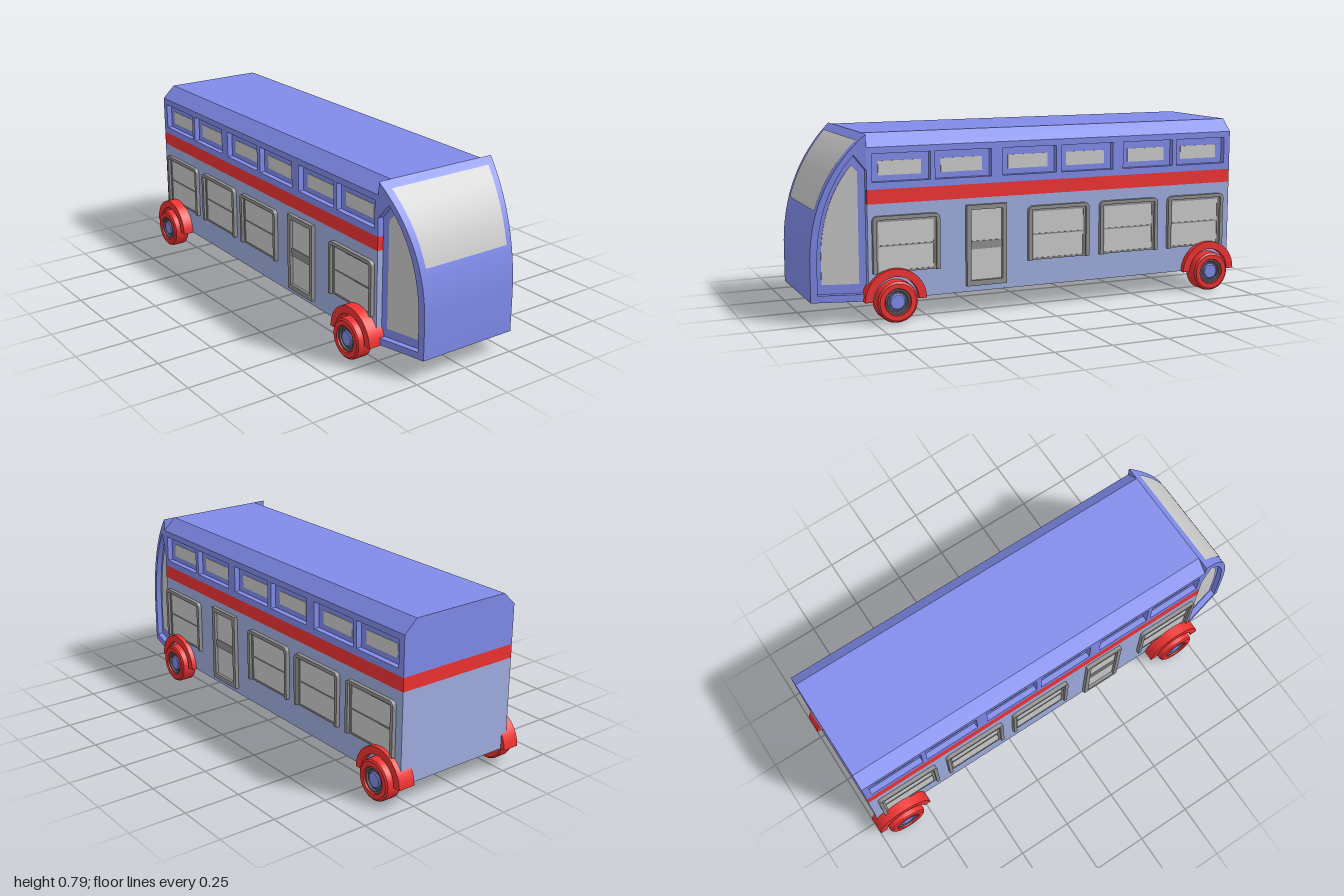
import * as THREE from 'three';
import { toCreasedNormals } from 'three/addons/utils/BufferGeometryUtils.js';

const CX = 0.0135;          // centre line of the bodywork
const HALF = 0.2915;        // half width of the bodywork
const FRONT = 0.77, BACK = -0.98;

const mat = (color) => new THREE.MeshStandardMaterial({ color });
const blue = mat(0x808bea), paleBlue = mat(0xa0aee0), red = mat(0xf03232);
const glass = mat(0xcccccc), grey = mat(0x909090), dark = mat(0x606068);

export function createModel() {
  const model = new THREE.Group();

  const add = (name, geometry, material, parent = model) => {
    const mesh = new THREE.Mesh(geometry, material);
    mesh.name = name;
    parent.add(mesh);
    return mesh;
  };
  const polygon = (pts) => new THREE.Shape(pts.map(([a, b]) => new THREE.Vector2(a, b)));
  const rect = (z0, z1, y0, y1) => polygon([[z0, y0], [z1, y0], [z1, y1], [z0, y1]]);

  // Extrude a (z, y) side shape across x, from x0 to x1
  const across = (shape, x0, x1) =>
    toCreasedNormals(new THREE.ExtrudeGeometry(shape, { depth: x1 - x0, bevelEnabled: false, curveSegments: 16 })
      .rotateY(-Math.PI / 2).translate(x1, 0, 0), 0.5);
  // The same part on both sides, a and b measured out from the centre line
  const bothSides = (name, shape, a, b, material) => {
    add('left' + name, across(shape, CX + a, CX + b), material);
    add('right' + name, across(shape, CX - b, CX - a), material);
  };
  const box = (name, y0, y1, material) =>
    add(name, new THREE.BoxGeometry(2 * HALF, y1 - y0, FRONT - BACK)
      .translate(CX, (y0 + y1) / 2, (FRONT + BACK) / 2), material);

  // Main body: lower deck, band, and upper deck with a chamfered roof
  box('lowerBody', 0.095, 0.5, paleBlue);
  box('redBand', 0.5, 0.56, red);
  const inner = HALF - 0.025;
  const roof = polygon([[-inner, 0.56], [inner, 0.56], [inner, 0.735], [HALF, 0.735],
    [0.233, 0.79], [-0.233, 0.79], [-HALF, 0.735], [-inner, 0.735]]);
  add('upperBody', new THREE.ExtrudeGeometry(roof, { depth: FRONT - BACK, bevelEnabled: false })
    .translate(CX, 0, BACK), blue);

  // Upper side panels with recessed windows
  const upperPanel = rect(BACK, FRONT, 0.56, 0.735);
  for (const z of [0.62, 0.345, 0.038, -0.241, -0.547, -0.823]) {
    upperPanel.holes.push(rect(z - 0.127, z + 0.127, 0.59, 0.708));
    bothSides('UpperWindow', rect(z - 0.094, z + 0.094, 0.615, 0.675), inner - 0.002, inner + 0.002, glass);
  }
  bothSides('UpperPanel', upperPanel, inner, HALF, blue);

  // Window surround: rounded top corners, open at the bottom
  const surround = (z0, z1, y0, y1, w, r) => {
    const s = new THREE.Shape();
    s.moveTo(z0, y0);
    s.lineTo(z0 + w, y0);
    s.lineTo(z0 + w, y1 - w);
    s.lineTo(z1 - w, y1 - w);
    s.lineTo(z1 - w, y0);
    s.lineTo(z1, y0);
    s.lineTo(z1, y1 - r);
    s.quadraticCurveTo(z1, y1, z1 - r, y1);
    s.lineTo(z0 + r, y1);
    s.quadraticCurveTo(z0, y1, z0, y1 - r);
    return s;
  };

  // Lower windows
  for (const z of [0.605, -0.098, -0.447, -0.796]) {
    const z0 = z - 0.147, z1 = z + 0.147;
    bothSides('WindowSurround', surround(z0, z1, 0.21, 0.45, 0.016, 0.025), HALF, HALF + 0.0175, grey);
    const sash = rect(z0 + 0.016, z1 - 0.016, 0.21, 0.434);
    sash.holes.push(rect(z0 + 0.026, z1 - 0.026, 0.218, 0.32), rect(z0 + 0.026, z1 - 0.026, 0.326, 0.424));
    bothSides('WindowSash', sash, HALF, HALF + 0.006, grey);
    bothSides('WindowGlass', rect(z0 + 0.016, z1 - 0.016, 0.212, 0.432), HALF - 0.002, HALF + 0.003, glass);
  }

  // Doors
  const doorFrame = rect(0.153, 0.338, 0.122, 0.472);
  doorFrame.holes.push(rect(0.173, 0.318, 0.145, 0.452));
  bothSides('DoorFrame', doorFrame, HALF, HALF + 0.0175, grey);
  bothSides('DoorRail', rect(0.173, 0.318, 0.28, 0.315), HALF, HALF + 0.009, grey);
  bothSides('DoorGlass', rect(0.173, 0.318, 0.145, 0.452), HALF - 0.002, HALF + 0.004, glass);

  // Cab: side shapes spread across a width that tapers towards the nose
  const halfAt = (z) => HALF - (z - FRONT) / 0.23 * 0.058;
  const taper = (shape, inset) => {
    const g = new THREE.ExtrudeGeometry(shape, { depth: 2, bevelEnabled: false, curveSegments: 20 });
    const p = g.attributes.position;
    for (let i = 0; i < p.count; i++) {
      const z = p.getX(i), y = p.getY(i), s = 1 - p.getZ(i);
      p.setXYZ(i, CX + s * (halfAt(z) - inset), y, z);
    }
    return toCreasedNormals(g, 0.4);
  };

  const shell = new THREE.Shape();
  shell.moveTo(FRONT, 0.095);
  shell.lineTo(1, 0.095);
  shell.lineTo(1, 0.25);
  shell.quadraticCurveTo(1, 0.58, FRONT, 0.79);
  shell.lineTo(FRONT, 0.64);
  shell.lineTo(0.82, 0.705);
  shell.quadraticCurveTo(0.97, 0.53, 0.972, 0.25);
  shell.lineTo(0.972, 0.125);
  shell.lineTo(FRONT, 0.125);
  add('cabShell', taper(shell, 0), blue);

  const core = new THREE.Shape();
  core.moveTo(FRONT, 0.125);
  core.lineTo(0.972, 0.125);
  core.lineTo(0.972, 0.25);
  core.quadraticCurveTo(0.97, 0.53, 0.82, 0.705);
  core.lineTo(FRONT, 0.64);
  add('cabCore', taper(core, 0.027), blue);

  const cabWindow = new THREE.Shape();
  cabWindow.moveTo(0.8, 0.165);
  cabWindow.lineTo(0.95, 0.165);
  cabWindow.lineTo(0.95, 0.28);
  cabWindow.quadraticCurveTo(0.945, 0.51, 0.825, 0.66);
  cabWindow.lineTo(0.8, 0.635);
  add('cabSideWindows', taper(cabWindow, 0.024), glass);

  // Windscreen: a strip laid just over the curved front
  const curve = new THREE.QuadraticBezierCurve(
    new THREE.Vector2(1, 0.25), new THREE.Vector2(1, 0.58), new THREE.Vector2(FRONT, 0.79));
  const screen = new THREE.PlaneGeometry(2, 1, 1, 20);
  const sp = screen.attributes.position;
  for (let i = 0; i < sp.count; i++) {
    const t = THREE.MathUtils.lerp(0.363, 0.935, sp.getY(i) + 0.5);
    const c = curve.getPoint(t);
    const half = halfAt(c.x) - THREE.MathUtils.lerp(0.029, 0.033, sp.getY(i) + 0.5);
    sp.setXYZ(i, CX + sp.getX(i) * half, c.y + 0.0015, c.x + 0.002);
  }
  screen.computeVertexNormals();
  add('windscreen', screen, glass);

  // Wheels and arches
  const lathe = (pts) => toCreasedNormals(
    new THREE.LatheGeometry(pts.map(([r, h]) => new THREE.Vector2(r, h)), 40), 0.6);
  const tyre = lathe([[0, 0], [0.084, 0], [0.09, 0.006], [0.09, 0.058], [0.087, 0.068], [0.079, 0.074],
    [0.058, 0.074], [0.054, 0.058], [0, 0.058]]);
  const rim = lathe([[0.055, 0.056], [0.055, 0.068], [0.047, 0.068], [0.043, 0.06], [0, 0.06]]);
  const hub = lathe([[0.035, 0.055], [0.035, 0.064], [0.03, 0.068], [0, 0.068]]);

  for (const z of [0.657, -0.866]) {
    for (const side of [1, -1]) {
      const wheel = new THREE.Group();
      wheel.name = (side > 0 ? 'left' : 'right') + (z > 0 ? 'Front' : 'Rear') + 'Wheel';
      wheel.position.set(side * 0.278, 0.09, z);
      wheel.rotation.z = -side * Math.PI / 2;
      add('tyre', tyre, red, wheel);
      add('rim', rim, dark, wheel);
      add('hub', hub, blue, wheel);
      model.add(wheel);

      const arch = new THREE.Shape();
      arch.absarc(z, 0.093, 0.134, 0, Math.PI, false);
      arch.absarc(z, 0.093, 0.1, Math.PI, 0, true);
      add('wheelArch', side > 0 ? across(arch, 0.25, 0.328) : across(arch, -0.328, -0.25), red);
    }
  }
  return model;
}
